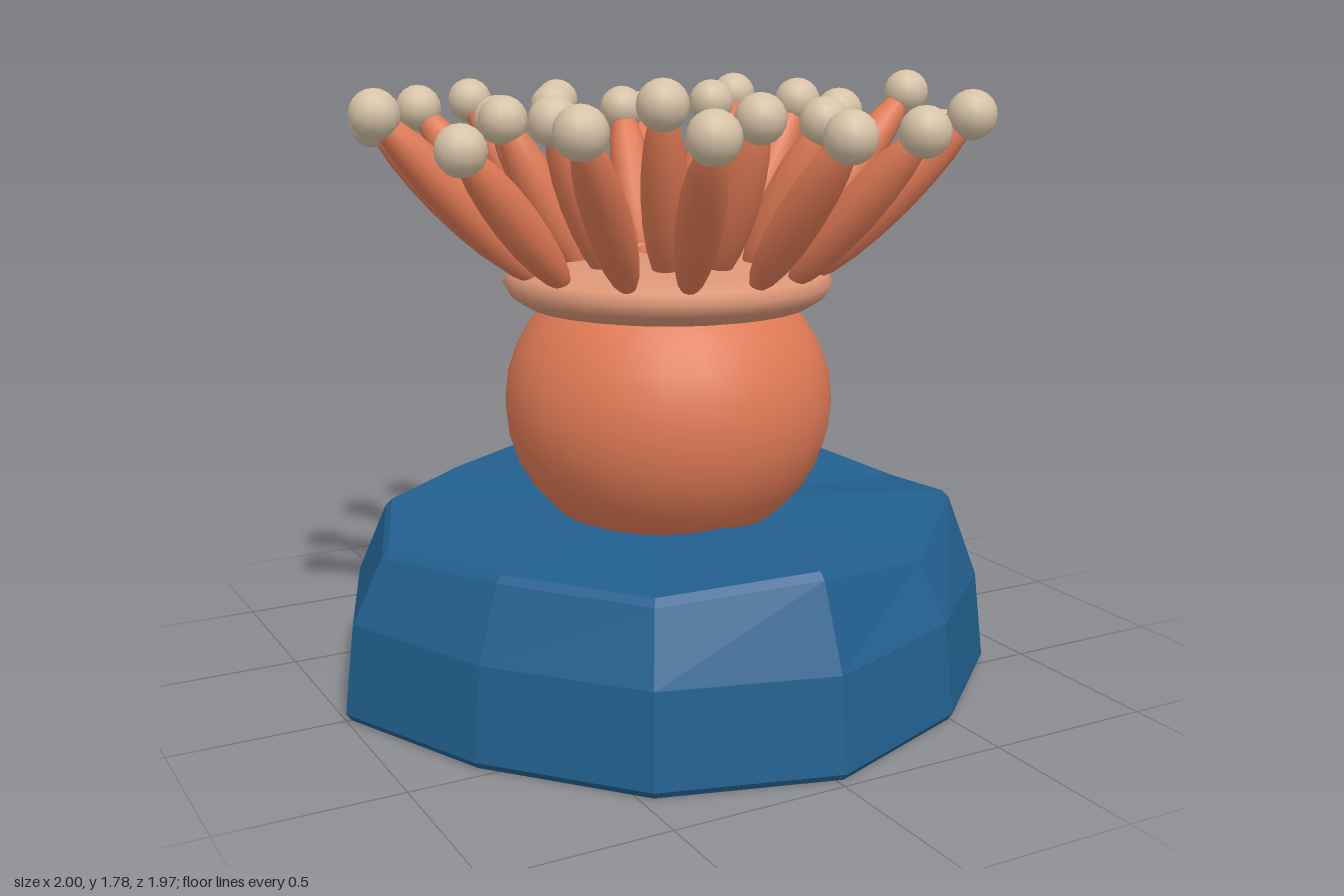
import * as THREE from 'three';

const mat = (name, color, extra = {}) => {
  const m = new THREE.MeshStandardMaterial({ color, ...extra });
  m.name = name;
  return m;
};

// Faceted rock: rings of a twelve-sided outline, from bottom centre to top centre
function rockGeometry() {
  const outline = [[1, 0], [0.86, 0.48], [0.5, 0.8], [0.02, 0.98], [-0.47, 0.84], [-0.8, 0.46],
    [-1, 0], [-0.82, -0.48], [-0.45, -0.78], [0.02, -0.99], [0.5, -0.79], [0.86, -0.47]];
  const rim = [0.47, 0.54, 0.47, 0.53, 0.49, 0.5, 0.48, 0.5, 0.5, 0.53, 0.5, 0.52];
  const rings = [
    [0, () => 0], [0.985, () => 0], [1, () => 0.02], [0.97, () => 0.28],
    [0.88, (h) => h - 0.02], [0.86, (h) => h], [0, () => 0.5],
  ];
  const n = outline.length, pos = [], index = [];
  for (const [s, y] of rings) outline.forEach(([x, z], i) => pos.push(x * s, y(rim[i]), z * s));
  for (let r = 0; r < rings.length - 1; r++) {
    for (let i = 0; i < n; i++) {
      const a = r * n + i, b = r * n + (i + 1) % n, c = a + n, d = b + n;
      if (r > 0) index.push(a, c, b);
      if (r < rings.length - 2) index.push(b, c, d);
    }
  }
  const indexed = new THREE.BufferGeometry();
  indexed.setAttribute('position', new THREE.Float32BufferAttribute(pos, 3));
  indexed.setIndex(index);
  const g = indexed.toNonIndexed();
  g.computeVertexNormals();
  return g;
}

export function createModel() {
  const model = new THREE.Group();
  model.name = 'seaAnemone';
  const coral = mat('coral', 0xe07a55);
  const paleCoral = mat('paleCoral', 0xdb9676);
  const cream = mat('cream', 0xd6c2a6);
  const blue = mat('rockBlue', 0x225f8e, { flatShading: true });
  const green = mat('leafGreen', 0x3f7a4a);
  const olive = mat('mossOlive', 0x748f28);

  const add = (name, geo, material, p = [0, 0, 0], s = [1, 1, 1], parent = model) => {
    const m = new THREE.Mesh(geo, material);
    m.name = name;
    m.position.set(...p);
    m.scale.set(...s);
    parent.add(m);
    return m;
  };
  const ball = new THREE.SphereGeometry(1, 24, 16);
  const smallBall = new THREE.SphereGeometry(1, 12, 10);

  add('rock', rockGeometry(), blue);

  // Round body with a domed disc and mouth on top
  const cx = 0.02, cz = 0.01;
  add('body', ball, coral, [cx, 0.82, cz], [0.485, 0.44, 0.485]);
  const profile = [[0, 1.11], [0.37, 1.105], [0.42, 1.115], [0.465, 1.145], [0.484, 1.18],
    [0.465, 1.21], [0.42, 1.23], [0.3, 1.25], [0.15, 1.262], [0, 1.265]];
  const disc = new THREE.LatheGeometry(profile.map(([x, y]) => new THREE.Vector2(x, y)), 32);
  add('oralDisc', disc, paleCoral, [cx, 0, cz]);
  add('mouth', ball, coral, [cx, 1.26, cz], [0.09, 0.02, 0.125]);

  // Tentacles: a spindle from the disc to each tip position
  const outerTips = [[0.06, 1.66, -0.84], [0.33, 1.62, -0.75], [0.6, 1.68, -0.6], [0.74, 1.6, -0.35],
    [0.91, 1.7, -0.06], [0.75, 1.6, 0.33], [0.64, 1.67, 0.61], [0.37, 1.64, 0.76],
    [0.09, 1.64, 0.83], [-0.29, 1.65, 0.81], [-0.56, 1.66, 0.64], [-0.73, 1.6, 0.29],
    [-0.86, 1.68, 0.01], [-0.76, 1.64, -0.3], [-0.51, 1.66, -0.61], [-0.27, 1.67, -0.79]];
  const innerTips = [[0.12, 1.65, -0.48], [0.37, 1.67, -0.35], [0.53, 1.68, -0.1], [0.5, 1.66, 0.17],
    [0.29, 1.65, 0.41], [0.03, 1.67, 0.5], [-0.24, 1.71, 0.46], [-0.43, 1.66, 0.2],
    [-0.46, 1.65, -0.07], [-0.39, 1.64, -0.28], [-0.12, 1.66, -0.48]];
  const up = new THREE.Vector3(0, 1, 0);
  const tentacles = (name, tips, baseRadius) => {
    const group = new THREE.Group();
    group.name = name;
    model.add(group);
    for (const t of tips) {
      const tip = new THREE.Vector3(...t);
      const a = Math.atan2(t[2] - cz, t[0] - cx);
      const base = new THREE.Vector3(cx + baseRadius * Math.cos(a), 1.21, cz + baseRadius * Math.sin(a));
      const dir = tip.clone().sub(base);
      const mid = base.clone().add(tip).multiplyScalar(0.5);
      const stalk = add('tentacle', smallBall, coral, mid.toArray(),
        [0.064, dir.length() / 2 + 0.01, 0.064], group);
      stalk.quaternion.setFromUnitVectors(up, dir.normalize());
      add('tentacleTip', smallBall, cream, t, [0.07, 0.07, 0.07], group);
    }
  };
  tentacles('outerTentacles', outerTips, 0.43);
  tentacles('innerTentacles', innerTips, 0.26);

  // Small plant on the rock edge
  add('mossBack', ball, olive, [0.79, 0.52, -0.6], [0.11, 0.065, 0.1]);
  add('mossFront', ball, olive, [0.83, 0.52, -0.51], [0.095, 0.065, 0.09]);
  add('tallLeaf', ball, green, [0.7, 0.7, -0.565], [0.06, 0.205, 0.105]).rotation.z = -0.2;
  add('shortLeaf', ball, green, [0.79, 0.66, -0.56], [0.055, 0.2, 0.09]).rotation.z = -0.22;

  return model;
}
